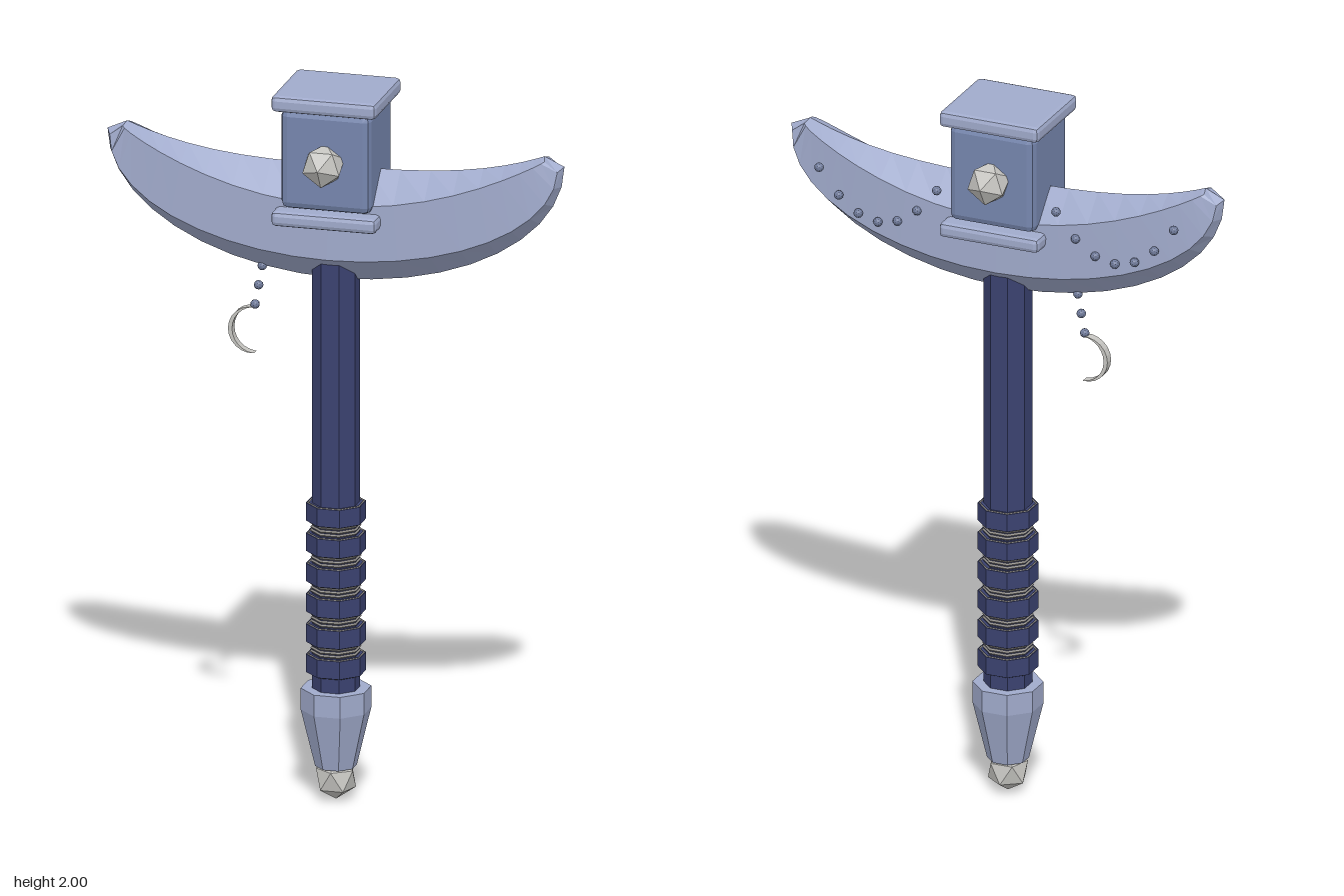
import * as THREE from 'three';
import { RoundedBoxGeometry } from 'three/addons/geometries/RoundedBoxGeometry.js';

const mat = (name, color) => {
  const m = new THREE.MeshStandardMaterial({ color, flatShading: true });
  m.name = name;
  return m;
};

export function createModel() {
  const steel = mat('pale blue steel', 0xa0aacb);
  const darkSteel = mat('blue steel', 0x7686ae);
  const navy = mat('navy wood', 0x3b4270);
  const silver = mat('silver', 0xc6c5c1);
  const cord = mat('grey cord', 0x8d8a86);
  const beadMat = mat('bead steel', 0x717c9c);

  const root = new THREE.Group();
  root.name = 'warHammer';
  const add = (name, geo, material, x = 0, y = 0, z = 0) => {
    const m = new THREE.Mesh(geo, material);
    m.name = name;
    m.position.set(x, y, z);
    root.add(m);
    return m;
  };
  // Eight-sided solid with flats facing the axes; r is measured across the flats
  const octagon = (rTop, rBottom, h) => {
    const k = 1 / Math.cos(Math.PI / 8);
    return new THREE.CylinderGeometry(rTop * k, rBottom * k, h, 8).rotateY(Math.PI / 8);
  };

  // Handle
  add('handle', octagon(0.06, 0.06, 1.3), navy, 0, 0.95);

  // Grip: raised rings with cord wound between them
  for (let i = 0; i < 6; i++) {
    const y = 0.385 + i * 0.085;
    add('gripRing', octagon(0.075, 0.075, 0.05), navy, 0, y);
    for (let j = -1; j <= 1; j++) {
      if (i === 5) continue;
      const g = new THREE.TorusGeometry(0.064, 0.005, 4, 8).rotateX(Math.PI / 2).rotateY(Math.PI / 8);
      add('gripCord', g, cord, 0, y + 0.0425 + j * 0.01);
    }
    for (const s of [-1, 1]) {
      const g = new THREE.TorusGeometry(0.076, 0.0025, 4, 8).rotateX(Math.PI / 2).rotateY(Math.PI / 8);
      add('ringTrim', g, cord, 0, y + s * 0.025);
    }
  }

  // Pommel cap
  add('pommelCollar', octagon(0.088, 0.088, 0.06), steel, 0, 0.285);
  add('pommelCap', octagon(0.088, 0.052, 0.16), steel, 0, 0.175);

  // Faceted studs, one corner pointing along +z
  const stud = () => new THREE.IcosahedronGeometry(0.06, 0).rotateX(Math.atan(2 / (1 + Math.sqrt(5))));
  add('pommelStud', stud().rotateX(Math.PI / 2), silver, 0, 0.061);
  add('frontStud', stud(), silver, 0, 1.815, 0.124);
  add('backStud', stud().rotateY(Math.PI), silver, 0, 1.815, -0.124);

  // Hammer head
  add('headBlock', new RoundedBoxGeometry(0.25, 0.28, 0.224, 1, 0.02), darkSteel, 0, 1.82);
  add('topPlate', new RoundedBoxGeometry(0.292, 0.045, 0.264, 1, 0.013), steel, 0, 1.9775);
  add('lowerPlate', new RoundedBoxGeometry(0.292, 0.042, 0.264, 1, 0.013), steel, 0, 1.655);

  // Crescent blade: six-sided sections swept from tip to tip
  const section = (a) => {
    const s = Math.sin(a), c = Math.cos(a), q = Math.abs(s);
    const z = 0.025 + 0.057 * c;
    const up = [0.586 * s, 1.69 + 0.157 * q ** 2];
    const lo = [0.622 * s, 1.82 - 0.283 * c];
    return [
      [0.58 * s, 1.78 + 0.075 * q ** 3, 0],
      [...up, z * 0.97], [...lo, z],
      [0.635 * s, 1.83 - 0.367 * c, 0],
      [...lo, -z], [...up, -z * 0.97],
    ];
  };
  const N = 20, rows = [], pos = [];
  for (let i = 0; i <= N; i++) rows.push(section((i / N - 0.5) * Math.PI));
  const tri = (a, b, c) => pos.push(...a, ...b, ...c);
  for (let i = 0; i < N; i++) {
    for (let j = 0; j < 6; j++) {
      const k = (j + 1) % 6;
      tri(rows[i][j], rows[i][k], rows[i + 1][k]);
      tri(rows[i][j], rows[i + 1][k], rows[i + 1][j]);
    }
  }
  for (let j = 1; j < 5; j++) {
    tri(rows[N][0], rows[N][j], rows[N][j + 1]);
    tri(rows[0][0], rows[0][j + 1], rows[0][j]);
  }
  const blade = new THREE.BufferGeometry();
  blade.setAttribute('position', new THREE.Float32BufferAttribute(pos, 3));
  blade.computeVertexNormals();
  add('crescentBlade', blade, steel);

  // Two hanging rows of beads on the back of the blade
  const bead = new THREE.IcosahedronGeometry(0.013, 1);
  for (const side of [-1, 1]) {
    for (let i = 0; i < 7; i++) {
      const x = 0.175 + i * 0.0575;
      add('backBead', bead, beadMat, side * x, 1.622 + 4.2 * (x - 0.345) ** 2, -0.076);
    }
  }

  // Short chain with a crescent charm
  for (let i = 0; i < 3; i++) add('chainBead', bead, beadMat, -0.205 - i * 0.01, 1.48 - i * 0.055, 0);
  const moon = new THREE.Shape();
  const arc = (r, cx, a0, a1, n = 12) => {
    const pts = [];
    for (let i = 0; i <= n; i++) {
      const a = a0 + ((a1 - a0) * i) / n;
      pts.push(new THREE.Vector2(cx + r * Math.cos(a), r * Math.sin(a)));
    }
    return pts;
  };
  const outer = arc(0.065, 0, 1.45, 4.83);
  const inner = arc(0.0648, 0.011, 4.6, 1.68);
  moon.setFromPoints([...outer, ...inner]);
  const charm = new THREE.ExtrudeGeometry(moon, { depth: 0.024, bevelEnabled: false }).translate(0, 0, -0.012);
  add('crescentCharm', charm, silver, -0.232, 1.3, 0);

  return root;
}
